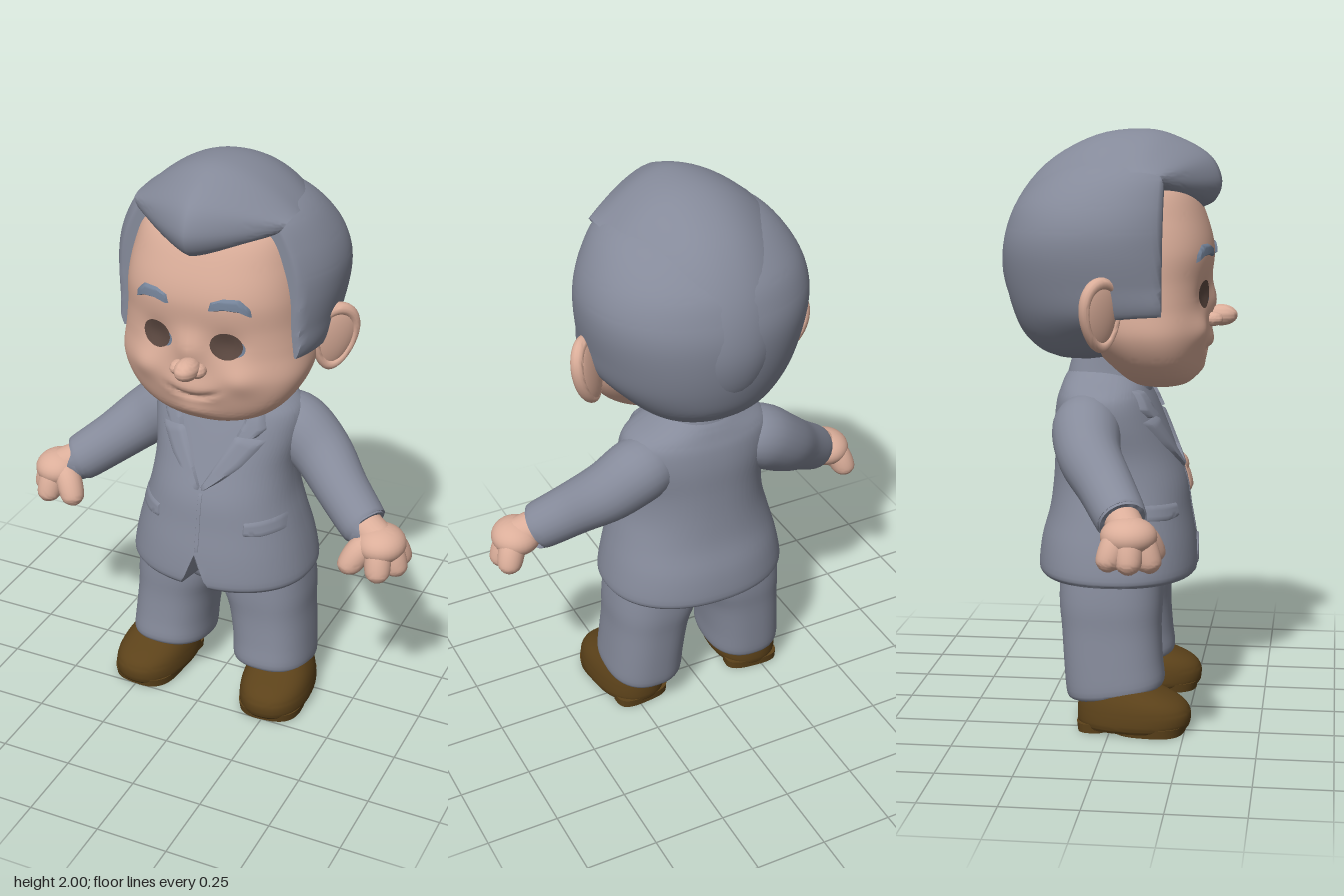
import * as THREE from 'three';
import { toCreasedNormals } from 'three/addons/utils/BufferGeometryUtils.js';

const paint = (name, color, side = THREE.FrontSide) => {
  const m = new THREE.MeshStandardMaterial({ color, side });
  m.name = name;
  return m;
};

// Indexed grid of points; optional wrap around and end caps
function gridGeometry(rows, cols, point, wrap = false) {
  const pos = [], idx = [], n = wrap ? cols : cols + 1;
  for (let i = 0; i <= rows; i++)
    for (let j = 0; j < n; j++) pos.push(...point(i / rows, j / cols));
  for (let i = 0; i < rows; i++)
    for (let j = 0; j < cols; j++) {
      const k = (j + 1) % n, a = i * n + j, b = i * n + k, c = a + n, d = b + n;
      if (wrap) idx.push(a, c, b, b, c, d);
      else idx.push(a, b, c, b, d, c);
    }
  if (wrap) {
    for (const r of [0, rows]) {
      const c = pos.length / 3, mid = [0, 0, 0];
      for (let j = 0; j < n; j++) for (let k = 0; k < 3; k++) mid[k] += pos[(r * n + j) * 3 + k] / n;
      pos.push(...mid);
      for (let j = 0; j < n; j++) {
        const a = r * n + j, b = r * n + (j + 1) % n;
        if (r) idx.push(c, b, a); else idx.push(c, a, b);
      }
    }
  }
  const g = new THREE.BufferGeometry();
  g.setAttribute('position', new THREE.Float32BufferAttribute(pos, 3));
  g.setIndex(idx);
  g.computeVertexNormals();
  return g;
}

// Smooth interpolation through rows of numbers, t from 0 to 1
function track(rows) {
  const it = new THREE.CubicInterpolant(rows.map((_, i) => i), rows.flat(), rows[0].length);
  return t => Array.from(it.evaluate(t * (rows.length - 1)));
}

// Stack of rounded cross-sections: [y, halfWidth, zFront, zBack, xCentre]
function loft(rows, { n = 2.3, segs = 48, steps = 4, warp = p => p } = {}) {
  const at = track(rows), e = 2 / n;
  return gridGeometry((rows.length - 1) * steps, segs, (u, v) => {
    const [y, w, f, b, cx = 0] = at(u), a = v * Math.PI * 2, c = Math.cos(a), s = Math.sin(a);
    return warp([cx + w * Math.sign(c) * Math.abs(c) ** e, y,
      (f + b) / 2 + (f - b) / 2 * Math.sign(s) * Math.abs(s) ** e]);
  }, true);
}

// Round limb along points [x, y, z, radius]
function limb(rows, segs = 24) {
  const at = track(rows);
  return gridGeometry((rows.length - 1) * 5, segs, (u, v) => {
    const p = at(u), q = at(Math.min(1, u + 0.01)), o = at(Math.max(0, u - 0.01));
    const d = new THREE.Vector3(q[0] - o[0], q[1] - o[1], q[2] - o[2]).normalize();
    const s = new THREE.Vector3(0, 0, 1).cross(d).normalize(), t = d.clone().cross(s);
    const a = -v * Math.PI * 2;
    s.multiplyScalar(Math.cos(a) * p[3]).addScaledVector(t, Math.sin(a) * p[3]);
    return [p[0] + s.x, p[1] + s.y, p[2] + s.z];
  }, true);
}

// Thin raised plate between two edges, laid on the front of a mesh
function drape(target, edgeA, edgeB, lift, rim = -0.003, rows = 6, cols = 16) {
  const ray = new THREE.Raycaster();
  const along = (pts, t) => {
    const k = Math.min(pts.length - 2, Math.floor(t * (pts.length - 1))), f = t * (pts.length - 1) - k;
    return [0, 1].map(i => pts[k][i] * (1 - f) + pts[k + 1][i] * f);
  };
  return gridGeometry(rows, cols, (u, v) => {
    const a = along(edgeA, v), b = along(edgeB, v);
    const x = a[0] + (b[0] - a[0]) * u, y = a[1] + (b[1] - a[1]) * u;
    ray.set(new THREE.Vector3(x, y, 3), new THREE.Vector3(0, 0, -1));
    const z = ray.intersectObject(target)[0]?.point.z ?? 0;
    return [x, y, z + (u * v * (1 - u) * (1 - v) === 0 ? rim : lift)];
  });
}

const ball = (x, y, z, rx, ry, rz) => new THREE.SphereGeometry(1, 28, 18).scale(rx, ry, rz).translate(x, y, z);

function mirrored(geo) {
  const g = geo.clone().scale(-1, 1, 1), ix = g.index.array;
  for (let i = 0; i < ix.length; i += 3) [ix[i + 1], ix[i + 2]] = [ix[i + 2], ix[i + 1]];
  return g;
}

// Soft swellings and hollows of the face: [x, y, widthX, widthY, depth]
const relief = [[0, 1.43, 0.045, 0.06, 0.022], [0, 1.29, 0.09, 0.045, 0.02], [0, 1.2, 0.07, 0.03, 0.012],
  [0.17, 1.34, 0.06, 0.05, 0.018], [-0.17, 1.34, 0.06, 0.05, 0.018],
  [0.122, 1.46, 0.05, 0.045, -0.014], [-0.122, 1.46, 0.05, 0.045, -0.014]];
function sculptFace([x, y, z]) {
  if (z < 0.1) return [x, y, z];
  for (const [cx, cy, sx, sy, d] of relief) z += d * Math.exp(-(((x - cx) / sx) ** 2) - ((y - cy) / sy) ** 2);
  const smile = 1.262 + 3 * x * x;
  return [x, y, z - 0.016 * Math.exp(-(((y - smile) / 0.013) ** 2) - (x / 0.085) ** 4)];
}

export function createModel() {
  const model = new THREE.Group(), head = new THREE.Group(), body = new THREE.Group();
  head.name = 'head'; body.name = 'body';
  model.add(head, body);
  head.position.x = 0.012;
  const skin = paint('skin', 0xdbae9a), suit = paint('suit', 0x868b9b, THREE.DoubleSide);
  const hair = paint('hair', 0x858a9a, THREE.DoubleSide), brow = paint('brow', 0x75849a, THREE.DoubleSide);
  const eye = paint('eye', 0x5e4a42, THREE.DoubleSide), shoe = paint('shoe', 0x5c421a);
  const add = (parent, name, geo, mat) => {
    const m = new THREE.Mesh(toCreasedNormals(geo, 1.0), mat);
    m.name = name;
    parent.add(m);
    return m;
  };
  const pair = (parent, name, geo, mat) => {
    add(parent, name + 'Left', geo, mat);
    add(parent, name + 'Right', mirrored(geo), mat);
  };

  // Face
  const face = add(head, 'face', loft([
    [1.14, 0.08, 0.20, 0.08], [1.155, 0.15, 0.24, 0.04], [1.19, 0.225, 0.268, 0], [1.25, 0.285, 0.29, -0.06],
    [1.33, 0.322, 0.303, -0.13], [1.42, 0.32, 0.305, -0.2], [1.5, 0.31, 0.308, -0.2], [1.6, 0.302, 0.318, -0.2],
    [1.7, 0.285, 0.295, -0.2], [1.8, 0.25, 0.25, -0.15], [1.86, 0.18, 0.18, -0.1]],
  { n: 2.4, segs: 128, steps: 8, warp: sculptFace }), skin);
  add(head, 'noseTip', ball(0.008, 1.378, 0.342, 0.04, 0.036, 0.056), skin);
  pair(head, 'nostril', ball(0.036, 1.368, 0.318, 0.026, 0.024, 0.034), skin);

  // Eyes and brows
  const arc = (cx, cy, rx, ry, dir) => Array.from({ length: 17 }, (_, i) => {
    const a = Math.PI * i / 16;
    return [cx - rx * Math.cos(a), cy + dir * ry * Math.sin(a)];
  });
  const disc = (x, y, rx, ry, lift) => drape(face, arc(x, y, rx, ry, -1), arc(x, y, rx, ry, 1), lift, lift);
  for (const x of [-0.122, 0.122]) {
    const side = x > 0 ? 'Left' : 'Right';
    add(head, 'eye' + side, disc(x, 1.46, 0.052, 0.047, 0.006), eye);
    add(head, 'eyeCorner' + side, disc(x + 0.03, 1.452, 0.029, 0.028, 0.003), brow);
  }
  pair(head, 'eyebrow', drape(face,
    [[0.065, 1.578], [0.12, 1.588], [0.165, 1.583], [0.203, 1.565]],
    [[0.075, 1.612], [0.115, 1.628], [0.165, 1.628], [0.198, 1.595]], 0.009), brow);

  // Ears: cupped plates angled forward, narrower at the lobe
  const turnEar = g => {
    const p = g.attributes.position;
    for (let i = 0; i < p.count; i++) p.setX(i, p.getX(i) * (0.95 + p.getY(i) * 1.6));
    return g.rotateY(0.75).rotateZ(-0.17).translate(0.364, 1.41, -0.022);
  };
  pair(head, 'ear', turnEar(ball(0, 0, -0.006, 0.08, 0.12, 0.03)), skin);
  pair(head, 'earRim', turnEar(new THREE.TorusGeometry(0.83, 0.17, 12, 36).scale(0.084, 0.125, 0.13)), skin);

  // Hair: main shell cut flat at the hairline, sideburns in front of the ears
  add(head, 'hairShell', loft([
    [1.24, 0.13, 0, -0.22], [1.265, 0.2, 0.1, -0.275], [1.32, 0.27, 0.24, -0.33], [1.4, 0.342, 0.37, -0.365],
    [1.5, 0.367, 0.34, -0.388], [1.6, 0.383, 0.315, -0.395], [1.68, 0.38, 0.3, -0.38], [1.76, 0.352, 0.29, -0.345],
    [1.84, 0.298, 0.27, -0.27], [1.89, 0.23, 0.22, -0.19], [1.92, 0.13, 0.15, -0.1]], {
    n: 2.1, segs: 96, steps: 8,
    warp: ([x, y, z]) => [x, y, Math.min(z, -0.03 + 0.198 * THREE.MathUtils.smoothstep(y, 1.385, 1.4))],
  }), hair);

  // Swept-back top with a peaked front: centre [y, z], half width, edge [y, z] from the front lip to the nape
  const sweep = track([
    [1.735, 0.265, 0.235, 1.81, 0.15], [1.765, 0.32, 0.245, 1.82, 0.165], [1.83, 0.342, 0.255, 1.835, 0.165],
    [1.91, 0.305, 0.265, 1.85, 0.155], [1.97, 0.205, 0.27, 1.86, 0.11], [2.0, 0.09, 0.27, 1.86, 0.05],
    [1.98, -0.08, 0.27, 1.845, -0.06], [1.885, -0.25, 0.26, 1.77, -0.18], [1.74, -0.36, 0.24, 1.69, -0.26],
    [1.58, -0.402, 0.2, 1.57, -0.31], [1.44, -0.38, 0.17, 1.45, -0.29], [1.32, -0.31, 0.1, 1.34, -0.24]]);
  add(head, 'sweptHair', gridGeometry(55, 36, (u, v) => {
    const [y, z, w, ey, ez] = sweep(u), s = Math.sin((v - 0.5) * Math.PI);
    const k = Math.abs(s) ** (1.25 + 0.9 * THREE.MathUtils.smoothstep(u, 0.2, 0.6));
    return [w * s, y + (ey - y) * k, z + (ez - z) * k];
  }), hair);

  // Jacket with a notch in the front hem
  const jacket = add(body, 'jacket', loft([
    [0.5, 0.322, 0.262, -0.262], [0.525, 0.33, 0.273, -0.275], [0.62, 0.312, 0.265, -0.265],
    [0.72, 0.285, 0.248, -0.238], [0.82, 0.258, 0.232, -0.225], [0.92, 0.25, 0.195, -0.22],
    [1.02, 0.265, 0.155, -0.22], [1.09, 0.265, 0.125, -0.212], [1.13, 0.24, 0.105, -0.2],
    [1.17, 0.165, 0.085, -0.185], [1.2, 0.12, 0.06, -0.165]], {
    n: 2.2, segs: 200,
    warp: ([x, y, z]) => [x, z > 0 ? Math.max(y, 0.63 - Math.abs(x) * 2.6) : y, z],
  }), suit);
  add(body, 'collarBand', loft([
    [1.05, 0.15, 0.1, -0.18], [1.13, 0.145, 0.11, -0.18], [1.19, 0.13, 0.105, -0.175], [1.27, 0.12, 0.1, -0.15]]), suit);
  pair(body, 'lapel', drape(jacket,
    [[0.005, 0.855], [0.07, 0.9], [0.13, 0.95], [0.2, 1.04]],
    [[0, 0.87], [0.035, 0.94], [0.065, 1.0], [0.095, 1.055]], 0.012), suit);
  pair(body, 'collar', drape(jacket,
    [[0.16, 1.045], [0.19, 1.075], [0.17, 1.14]],
    [[0.095, 1.05], [0.11, 1.09], [0.125, 1.14]], 0.015), suit);
  pair(body, 'pocketFlap', drape(jacket,
    [[0.155, 0.715], [0.21, 0.708], [0.272, 0.715]], [[0.155, 0.765], [0.21, 0.768], [0.268, 0.772]], 0.007), suit);
  add(body, 'frontEdge', drape(jacket,
    [[0.014, 0.63], [0.014, 0.86]], [[-0.004, 0.63], [-0.004, 0.86]], 0.002), suit);

  // Sleeves
  pair(body, 'sleeve', limb([
    [0.16, 1.03, -0.085, 0.1], [0.23, 1.015, -0.085, 0.114], [0.33, 0.945, -0.06, 0.105],
    [0.43, 0.865, 0.005, 0.092], [0.53, 0.79, 0.065, 0.084], [0.545, 0.78, 0.073, 0.075]]), suit);

  // Hands
  pair(body, 'wrist', limb([[0.51, 0.8, 0.055, 0.055], [0.55, 0.78, 0.075, 0.06], [0.6, 0.755, 0.095, 0.06]]), skin);
  pair(body, 'palm', ball(0.612, 0.748, 0.1, 0.085, 0.062, 0.09), skin);
  const digits = { thumb: [0.53, 0.685, 0.165], foreFinger: [0.625, 0.675, 0.162], middleFinger: [0.666, 0.678, 0.105], littleFinger: [0.66, 0.685, 0.045] };
  for (const [name, [x, y, z]] of Object.entries(digits))
    pair(body, name, limb([[0.605, 0.76, 0.098, 0.04], [0.605 + (x - 0.605) * 0.6, 0.735, 0.098 + (z - 0.098) * 0.6, 0.046],
      [x, y, z, 0.043], [x + (x - 0.605) * 0.12, y - 0.024, z + (z - 0.098) * 0.1, 0.032],
      [x + (x - 0.605) * 0.16, y - 0.038, z + (z - 0.098) * 0.13, 0.01]]), skin);

  // Trousers, hems lower at the back
  pair(body, 'trouserLeg', loft([
    [0.115, 0.125, 0.155, -0.135, 0.198], [0.135, 0.14, 0.175, -0.155, 0.199], [0.22, 0.141, 0.168, -0.165, 0.194],
    [0.34, 0.146, 0.162, -0.175, 0.18], [0.44, 0.162, 0.165, -0.185, 0.161], [0.6, 0.16, 0.16, -0.18, 0.14]], {
    n: 2.4,
    warp: ([x, y, z]) => [x, y + 0.15 * z * (1 - THREE.MathUtils.smoothstep(y, 0.12, 0.35)), z],
  }), suit);
  add(body, 'hips', loft([
    [0.43, 0.04, 0.11, -0.13], [0.47, 0.2, 0.152, -0.172], [0.53, 0.285, 0.165, -0.185], [0.62, 0.27, 0.16, -0.18]]), suit);

  // Shoes, toes turned slightly out
  const place = g => g.rotateY(0.1).translate(0.232, 0, 0);
  pair(body, 'shoeUpper', place(loft([
    [0.012, 0.118, 0.258, -0.108], [0.03, 0.126, 0.268, -0.115], [0.07, 0.124, 0.268, -0.115],
    [0.105, 0.116, 0.24, -0.11], [0.14, 0.1, 0.17, -0.1], [0.175, 0.08, 0.1, -0.09]], { n: 2.3 })), shoe);
  pair(body, 'shoeSole', place(loft([[0, 0.112, 0.252, 0.012], [0.03, 0.116, 0.258, 0]], { n: 2.8, steps: 2 })), shoe);
  pair(body, 'shoeHeel', place(loft([[0, 0.098, 0, -0.108], [0.03, 0.1, 0.008, -0.112]], { n: 3, steps: 2 })), shoe);

  return model;
}
